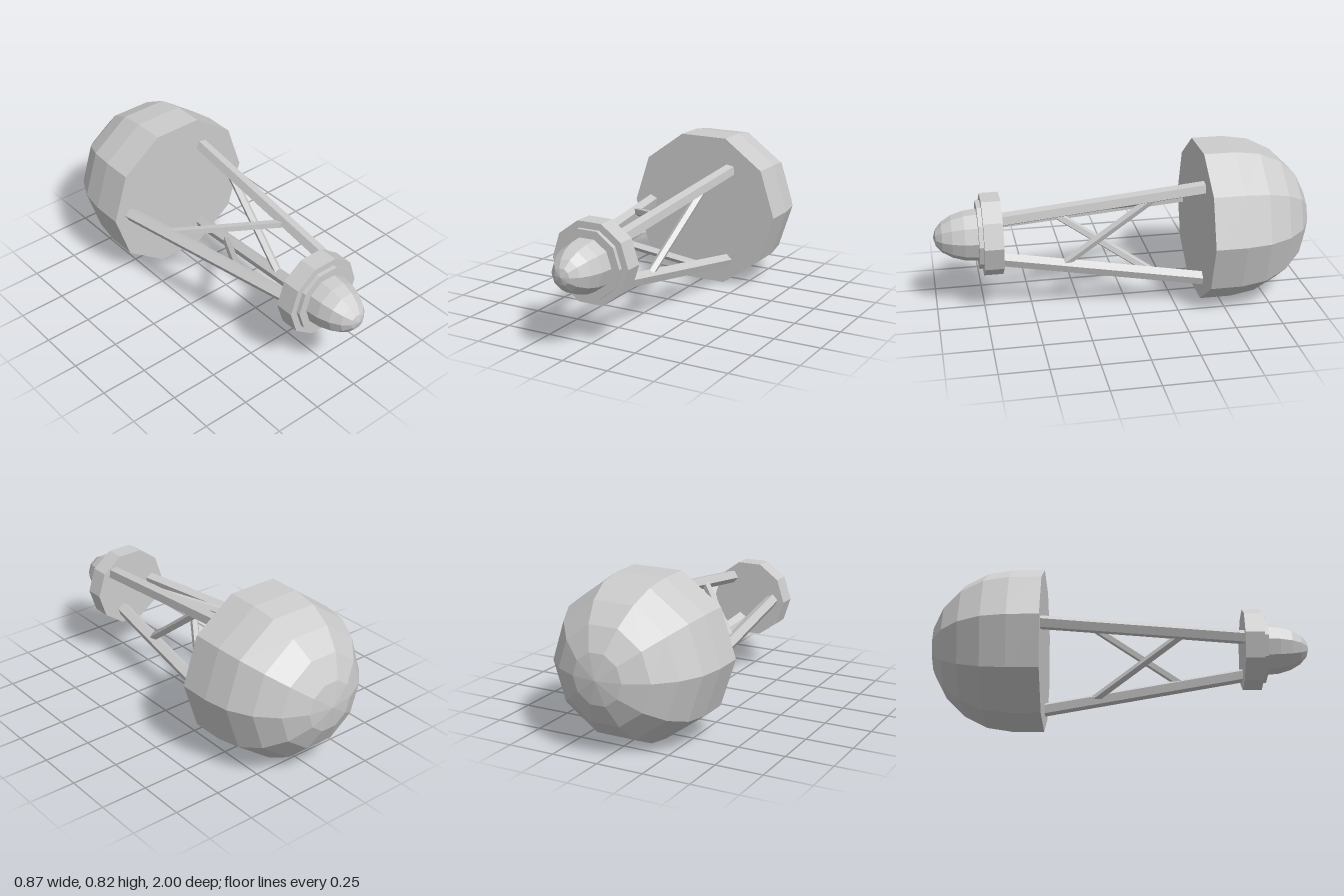
import * as THREE from 'three';

const AXIS_Y = 0.412;
const material = new THREE.MeshStandardMaterial({ color: 0xcccccc, flatShading: true });

// Ten-sided turned part along z; profile is [radius, z] from back to front
function turned(name, profile) {
  const points = profile.map(([r, z]) => new THREE.Vector2(r, z));
  const geometry = new THREE.LatheGeometry(points, 10, Math.PI / 2).rotateX(Math.PI / 2);
  const mesh = new THREE.Mesh(geometry, material);
  mesh.name = name;
  return mesh;
}

// Quarter ellipse profile, five steps from base to tip
function quarter(radius, z, length) {
  const profile = [];
  for (let i = 0; i <= 5; i++) {
    const a = (i * Math.PI) / 10;
    profile.push([i === 5 ? 0 : radius * Math.cos(a), z + length * Math.sin(a)]);
  }
  return profile;
}

// Five-sided bar between two points
function bar(name, from, to, radius, twist = 0) {
  const dir = to.clone().sub(from);
  const geometry = new THREE.CylinderGeometry(radius, radius, dir.length(), 5, 1, false, twist);
  const mesh = new THREE.Mesh(geometry, material);
  mesh.position.copy(from).add(to).multiplyScalar(0.5);
  mesh.quaternion.setFromUnitVectors(new THREE.Vector3(0, 1, 0), dir.normalize());
  mesh.name = name;
  return mesh;
}

export function createModel() {
  const model = new THREE.Group();
  model.name = 'model';
  const body = new THREE.Group();
  body.name = 'body';
  body.position.y = AXIS_Y;
  model.add(body);

  // Large rear dome with a flat front face
  body.add(turned('rearDome', [
    ...quarter(0.433, -0.567, -0.433).reverse(), [0.433, -0.4], [0, -0.4],
  ]));

  // Front collar with its raised step, and the rounded nose
  body.add(turned('frontCollar', [
    [0, 0.65], [0.216, 0.65], [0.216, 0.75], [0.18, 0.75], [0.18, 0.773], [0, 0.773],
  ]));
  body.add(turned('nose', quarter(0.137, 0.77, 0.23)));

  // Three splayed struts: front centre, rear centre, twist in degrees
  const struts = [
    { name: 'rightStrut', front: [-0.142, 0.005], rear: [-0.33, 0.003], twist: 0 },
    { name: 'upperStrut', front: [0.11, 0.118], rear: [0.16, 0.236], twist: 44 },
    { name: 'lowerStrut', front: [0.055, -0.127], rear: [0.15, -0.28], twist: -3 },
  ];
  const along = (strut, z) => {
    const t = (0.65 - z) / 1.05;
    const [x, y] = strut.front.map((v, i) => THREE.MathUtils.lerp(v, strut.rear[i], t));
    return new THREE.Vector3(x, y, z);
  };

  struts.forEach((strut, i) => {
    body.add(bar(strut.name, along(strut, 0.67), along(strut, -0.42), 0.037,
      THREE.MathUtils.degToRad(strut.twist)));
    // Diagonal brace to the next strut round
    const next = struts[(i + 2) % 3];
    body.add(bar('diagonalBrace', along(strut, 0.34), along(next, -0.15), 0.023));
  });

  return model;
}
